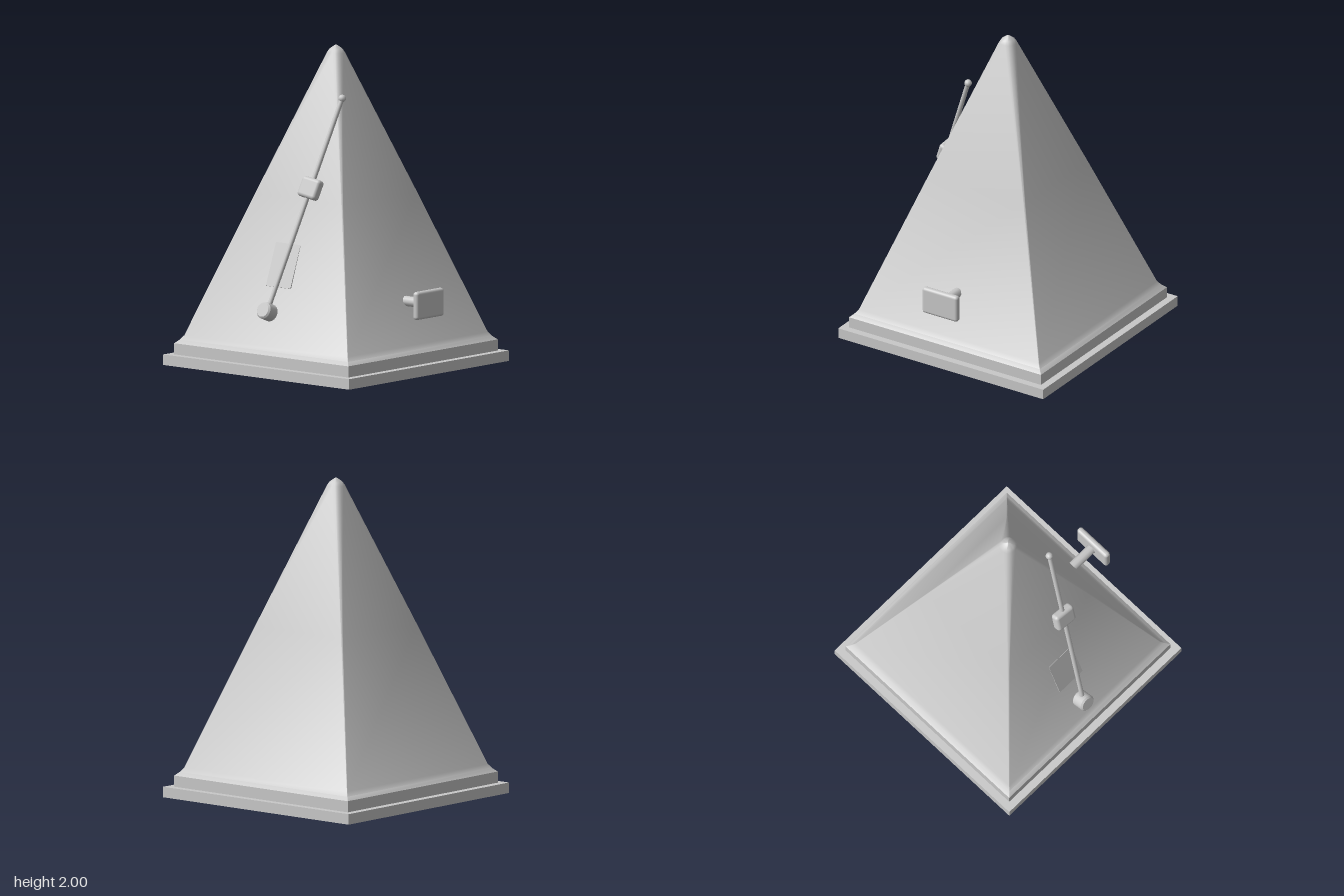
import * as THREE from 'three';
import { toCreasedNormals, mergeVertices } from 'three/addons/utils/BufferGeometryUtils.js';
import { RoundedBoxGeometry } from 'three/addons/geometries/RoundedBoxGeometry.js';

const CX = -0.01; // the body sits slightly off centre because of the key

// Lofted tower: rounded-square rings given as [y, half width, corner radius]
function towerGeometry(rings, steps = 3) {
  const pos = [], idx = [], n = 4 * (steps + 1);
  for (const [y, h, r] of rings) {
    for (let c = 0; c < 4; c++) {
      const a0 = c * Math.PI / 2;
      const sx = c === 0 || c === 3 ? 1 : -1, sz = c < 2 ? 1 : -1;
      for (let s = 0; s <= steps; s++) {
        const a = a0 + (s / steps) * Math.PI / 2;
        pos.push(sx * (h - r) + r * Math.cos(a), y, sz * (h - r) + r * Math.sin(a));
      }
    }
  }
  for (let k = 0; k < rings.length - 1; k++) {
    for (let i = 0; i < n; i++) {
      const a = k * n + i, b = k * n + (i + 1) % n;
      idx.push(a, a + n, b, b, a + n, b + n);
    }
  }
  const g = new THREE.BufferGeometry();
  g.setAttribute('position', new THREE.Float32BufferAttribute(pos, 3));
  g.setIndex(idx);
  return toCreasedNormals(mergeVertices(g, 1e-5), 0.6);
}

export function createModel() {
  const model = new THREE.Group();
  model.name = 'metronome';
  const grey = new THREE.MeshStandardMaterial({ color: 0xc8c8c8 });
  grey.name = 'plain grey';

  const add = (parent, name, geometry, x = 0, y = 0, z = 0) => {
    const mesh = new THREE.Mesh(geometry, grey);
    mesh.name = name;
    mesh.position.set(x, y, z);
    parent.add(mesh);
    return mesh;
  };

  // Stepped base
  add(model, 'basePlinth', new THREE.BoxGeometry(1.52, 0.066, 1.52), CX, 0.033, 0);
  add(model, 'baseStep', new THREE.BoxGeometry(1.424, 0.071, 1.424), CX, 0.1005, 0);

  // Pyramid case with a flared foot and softened tip
  add(model, 'case', towerGeometry([
    [0.136, 0.712, 0.003], [0.158, 0.688, 0.003], [0.185, 0.668, 0.003],
    [1.07, 0.359, 0.01], [1.95, 0.052, 0.04],
    [1.972, 0.04, 0.035], [1.992, 0.014, 0.013], [2.0, 0.001, 0.0009],
  ]), CX, 0, 0);

  // Front plate, its lower edge standing slightly proud of the case
  const plate = add(model, 'frontPlate', new THREE.BoxGeometry(0.2, 0.28, 0.012), CX, 0.67, 0.497);
  plate.rotation.x = -0.352;

  // Pendulum: local y runs up the rod, local z faces out of the case
  const foot = new THREE.Vector3(-0.01, 0.4, 0.655);
  const tip = new THREE.Vector3(0.185, 1.7, 0.168);
  const length = foot.distanceTo(tip);
  const up = tip.clone().sub(foot).normalize();
  const side = up.clone().cross(new THREE.Vector3(0, 0.35, 0.937)).normalize();
  const out = side.clone().cross(up);
  const pendulum = new THREE.Group();
  pendulum.name = 'pendulum';
  pendulum.position.copy(foot);
  pendulum.quaternion.setFromRotationMatrix(new THREE.Matrix4().makeBasis(side, up, out));
  model.add(pendulum);

  add(pendulum, 'rod', new THREE.CylinderGeometry(0.015, 0.015, length, 10), 0, length / 2, 0);
  add(pendulum, 'rodTip', new THREE.SphereGeometry(0.024, 12, 8), 0, length, 0);
  add(pendulum, 'slidingWeight', new RoundedBoxGeometry(0.15, 0.13, 0.062, 3, 0.022), 0, length * 0.578, 0);

  // Pivot knob with bevelled rims
  const knobProfile = [[0, -0.046], [0.044, -0.046], [0.054, -0.036], [0.054, 0.036], [0.044, 0.046], [0, 0.046]]
    .map(([r, y]) => new THREE.Vector2(r, y));
  const knob = add(pendulum, 'pivotKnob', toCreasedNormals(new THREE.LatheGeometry(knobProfile, 20), 0.6));
  knob.rotation.x = Math.PI / 2;

  // Winding key on the side
  const key = new THREE.Group();
  key.name = 'windingKey';
  key.position.set(0, 0.448, 0);
  model.add(key);
  const shaft = add(key, 'keyShaft', new THREE.CylinderGeometry(0.032, 0.032, 0.2, 10), 0.645, 0, 0);
  shaft.rotation.z = Math.PI / 2;
  add(key, 'keyGrip', new RoundedBoxGeometry(0.043, 0.176, 0.262, 3, 0.019), 0.746, 0, 0);

  return model;
}
